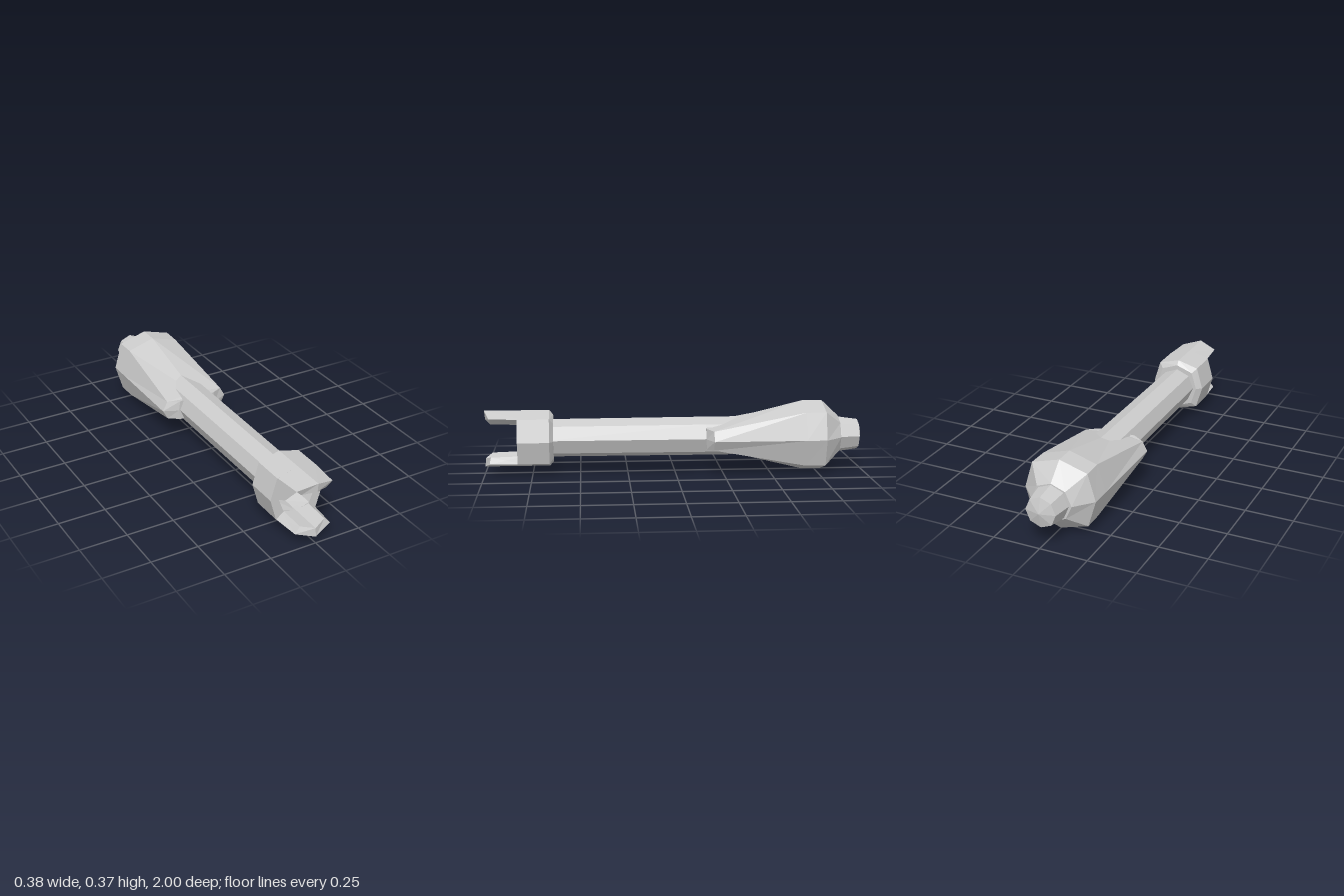
import * as THREE from 'three';

const CENTER_Y = 0.187;
const V = (x, y, z) => new THREE.Vector3(x, y, z);

// Skins a list of equal-length rings (counter-clockwise seen from the first ring's end) and caps both ends.
function loft(name, rings) {
  const pos = [];
  const tri = (...pts) => pts.forEach((p) => pos.push(p.x, p.y, p.z));
  const n = rings[0].length;
  const centre = (ring) => ring.reduce((s, p) => s.add(p), V(0, 0, 0)).divideScalar(n);
  for (let r = 0; r < rings.length - 1; r++) {
    const a = rings[r], b = rings[r + 1];
    for (let i = 0; i < n; i++) {
      const j = (i + 1) % n;
      tri(a[i], b[i], b[j]);
      tri(a[i], b[j], a[j]);
    }
  }
  const first = rings[0], last = rings[rings.length - 1];
  const c0 = centre(first), c1 = centre(last);
  for (let i = 0; i < n; i++) {
    const j = (i + 1) % n;
    tri(c0, first[i], first[j]);
    tri(c1, last[j], last[i]);
  }
  const geo = new THREE.BufferGeometry();
  geo.setAttribute('position', new THREE.Float32BufferAttribute(pos, 3));
  geo.computeVertexNormals();
  const mesh = new THREE.Mesh(geo, new THREE.MeshStandardMaterial({ color: 0xcccccc, flatShading: true }));
  mesh.name = name;
  return mesh;
}

// Eight-sided section: side and top radii, plus the diagonal corner (dx, dy).
const octagon = ([z, side, top, dx, dy]) => [
  V(side, 0, z), V(dx, dy, z), V(0, top, z), V(-dx, dy, z),
  V(-side, 0, z), V(-dx, -dy, z), V(0, -top, z), V(dx, -dy, z),
];
const round = (z, r) => [z, r, r, r * Math.SQRT1_2, r * Math.SQRT1_2];

// Curved prong: four-cornered sections swept across x over three stations.
function prong(name) {
  const station = (x, inner, outer, backInner, backOuter, tipX, tipZ) => [
    V(tipX * 0.69, inner, tipZ - 0.005), V(x * 0.62, backInner, 0.8),
    V(x, backOuter, 0.8), V(tipX, outer, tipZ),
  ];
  return loft(name, [
    station(0.114, 0.088, 0.119, 0.083, 0.117, 0.1, 0.97),
    station(0, 0.103, 0.149, 0.1, 0.149, 0, 1),
    station(-0.114, 0.088, 0.119, 0.083, 0.117, -0.1, 0.97),
  ]);
}

export function createModel() {
  const model = new THREE.Group();
  model.name = 'handle';
  const body = new THREE.Group();
  body.name = 'body';
  body.position.y = CENTER_Y;
  model.add(body);

  // Long shaft
  body.add(loft('shaft', [round(0.7, 0.1), round(-0.16, 0.103), round(-0.8, 0.103)].map(octagon)));

  // Hollow collar: cavity floor, rim, outer wall, rear chamfer
  body.add(loft('collar', [
    round(0.73, 0.1),
    [0.825, 0.104, 0.102, 0.074, 0.079],
    [0.825, 0.148, 0.149, 0.114, 0.117],
    [0.66, 0.148, 0.149, 0.114, 0.117],
    [0.64, 0.118, 0.125, 0.09, 0.092],
  ].map(octagon)));

  // Upper and lower prongs
  body.add(prong('upperProng'));
  const lower = prong('lowerProng');
  lower.rotation.z = Math.PI;
  body.add(lower);

  // Grip bulb: its side wings reach forward while top and bottom taper into the shaft
  body.add(loft('gripBulb', [
    [-0.16, 0.112, 0.055, 0.102, 0.055],
    [-0.195, 0.19, 0.067, 0.163, 0.05],
    [-0.68, 0.19, 0.185, 0.146, 0.141],
    [-0.785, 0.19, 0.185, 0.148, 0.141],
    [-0.875, 0.108, 0.1, 0.075, 0.072],
  ].map(octagon)));

  // Pommel with a shallow pointed end
  body.add(loft('pommel', [
    round(-0.85, 0.096), round(-0.88, 0.094), round(-0.98, 0.08), round(-1, 0.002),
  ].map(octagon)));

  return model;
}
